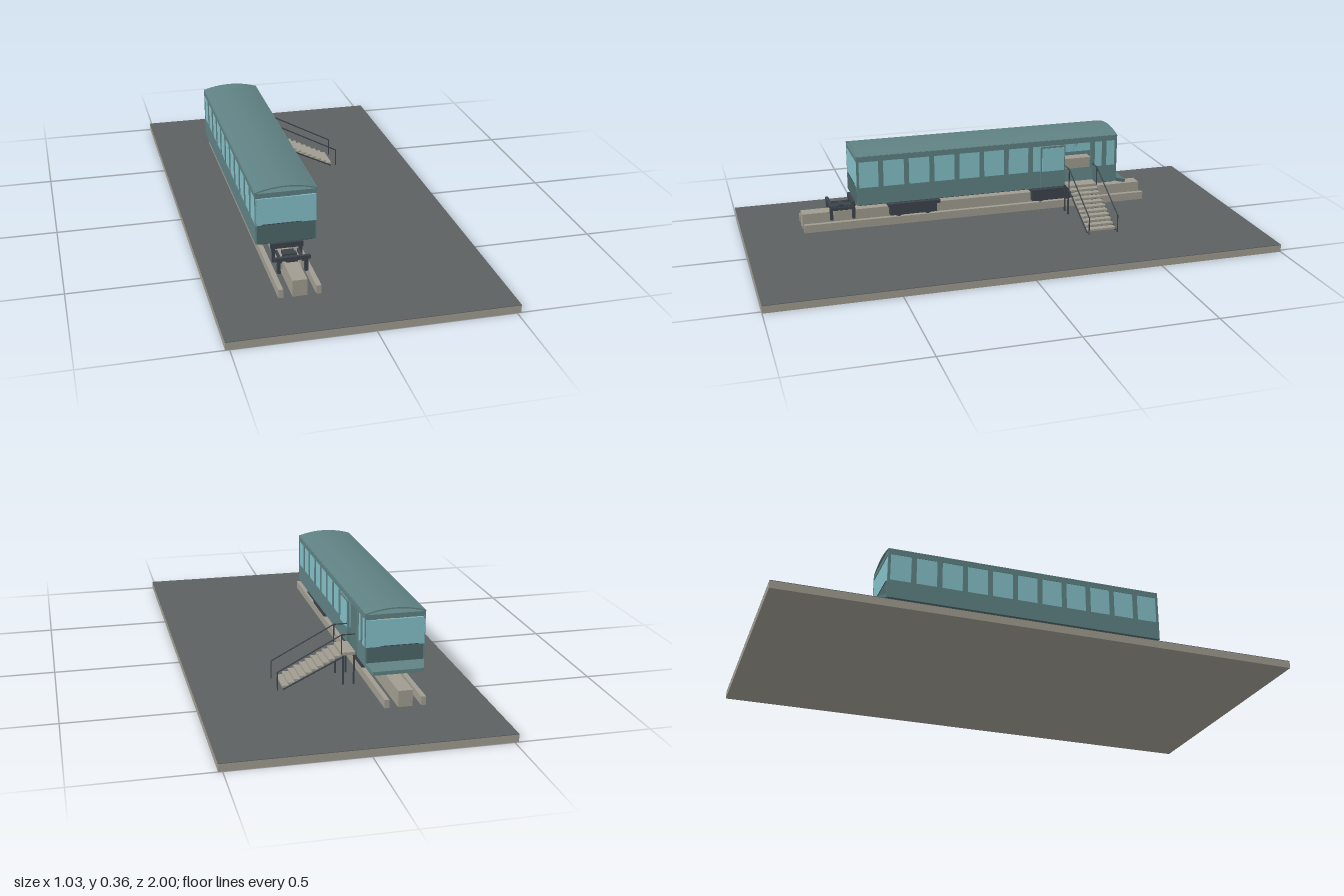
import * as THREE from 'three';

const mat = (name, color, side = THREE.FrontSide) => {
  const m = new THREE.MeshStandardMaterial({ color, side });
  m.name = name;
  return m;
};

export function createModel() {
  const model = new THREE.Group();
  const concrete = mat('concrete', 0xa09c90);
  const asphalt = mat('asphalt', 0x5c6062);
  const teal = mat('teal paint', 0x5f8183);
  const darkTeal = mat('dark teal paint', 0x4d686a);
  const glass = mat('glass', 0x83c0c8);
  const steel = mat('dark steel', 0x3b434b);

  // box given by its limits on each axis
  const box = (parent, name, m, x0, x1, y0, y1, z0, z1) => {
    const mesh = new THREE.Mesh(new THREE.BoxGeometry(x1 - x0, y1 - y0, z1 - z0), m);
    mesh.position.set((x0 + x1) / 2, (y0 + y1) / 2, (z0 + z1) / 2);
    mesh.name = name;
    parent.add(mesh);
    return mesh;
  };
  // round bar between two points
  const bar = (parent, name, m, a, b, r = 0.0025) => {
    const p = new THREE.Vector3(...a), d = new THREE.Vector3(...b).sub(p);
    const mesh = new THREE.Mesh(new THREE.CylinderGeometry(r, r, d.length(), 8), m);
    mesh.position.copy(p).addScaledVector(d, 0.5);
    mesh.quaternion.setFromUnitVectors(new THREE.Vector3(0, 1, 0), d.normalize());
    mesh.name = name;
    parent.add(mesh);
  };
  const group = (name, x = 0, z = 0) => {
    const g = new THREE.Group();
    g.name = name;
    g.position.set(x, 0, z);
    model.add(g);
    return g;
  };

  // ground slab with a dark top
  box(model, 'groundSlab', concrete, -0.515, 0.515, 0, 0.028, -1, 1);
  box(model, 'groundTop', asphalt, -0.515, 0.515, 0.028, 0.03, -1, 1);

  const cx = -0.208;

  // guideway: centre beam and two running rails
  const track = group('track', cx);
  box(track, 'centreBeam', concrete, -0.027, 0.027, 0.03, 0.092, -0.69, 0.76);
  for (const s of [-1, 1]) {
    const x = s * 0.068;
    box(track, 'runningRail', concrete, x - 0.009, x + 0.009, 0.03, 0.062, -0.69, 0.76);
  }

  // bogies
  for (const z of [0.315, -0.29]) {
    const bogie = group('bogie', cx, z);
    box(bogie, 'topPlate', steel, -0.103, 0.103, 0.113, 0.126, -0.107, 0.107);
    box(bogie, 'pivot', steel, -0.045, 0.045, 0.126, 0.147, -0.03, 0.03);
    for (const s of [-1, 1]) {
      const x = s * 0.066;
      box(bogie, 'sideFrame', steel, x - 0.014, x + 0.014, 0.07, 0.113, -0.097, 0.097);
      for (const wz of [-0.06, 0.06]) {
        bar(bogie, 'wheel', steel, [x - 0.008, 0.084, wz], [x + 0.008, 0.084, wz], 0.022);
        bar(bogie, 'guideWheel', steel, [s * 0.04, 0.065, wz], [s * 0.04, 0.082, wz], 0.012);
      }
    }
  }

  // coupler frame ahead of the car
  const coupler = group('couplerFrame', cx);
  box(coupler, 'rearCrossbar', steel, -0.06, 0.06, 0.118, 0.138, 0.55, 0.562);
  box(coupler, 'frontCrossbar', steel, -0.065, 0.065, 0.112, 0.126, 0.64, 0.652);
  box(coupler, 'drawbar', steel, -0.022, 0.022, 0.1, 0.112, 0.56, 0.64);
  box(coupler, 'couplerBlock', steel, -0.025, 0.025, 0.093, 0.118, 0.59, 0.61);
  for (const s of [-1, 1]) {
    const x = s * 0.04;
    box(coupler, 'sideBar', steel, x - 0.004, x + 0.004, 0.1, 0.112, 0.56, 0.64);
    box(coupler, 'guideBlock', concrete, x - 0.006, x + 0.006, 0.072, 0.1, 0.57, 0.632);
    for (const z of [0.55, 0.64]) {
      box(coupler, 'frameLeg', steel, s * 0.05 - 0.006, s * 0.05 + 0.006, 0.065, 0.12, z, z + 0.012);
    }
  }

  // passenger car
  const car = group('car', cx);
  const W = 0.113, L = 0.55, t = 0.006;
  box(car, 'floor', darkTeal, -W + 0.002, W - 0.002, 0.138, 0.15, -L + 0.002, L - 0.002);
  box(car, 'underframe', steel, -W + 0.015, W - 0.015, 0.131, 0.138, -L + 0.01, L - 0.01);
  box(car, 'ceiling', teal, -W + t, W - t, 0.33, 0.335, -L + t, L - t);
  box(car, 'bench', concrete, -W + t, -0.06, 0.15, 0.195, -0.5, 0.5);

  for (const s of [-1, 1]) {
    // the left side has a doorway between z = -0.44 and z = -0.32
    const runs = s > 0 ? [[-L, -0.44], [-0.32, L]] : [[-L, L]];
    const side = (name, m, inset, y0, y1, z0, z1) => {
      const a = s * (W - t), b = s * (W - inset);
      box(car, name, m, Math.min(a, b), Math.max(a, b), y0, y1, z0, z1);
    };
    side('upperWall', teal, 0, 0.317, 0.34, -L, L);
    for (const [z0, z1] of runs) {
      side('lowerWall', teal, 0, 0.138, 0.21, z0, z1);
      side('sideGlass', glass, 0.002, 0.21, 0.317, z0, z1);
    }
    // pillars between the windows
    const pillars = s > 0
      ? [0.452, 0.348, 0.244, 0.14, 0.036, -0.068, -0.172, -0.309, -0.443, -0.494]
      : Array.from({ length: 10 }, (_, i) => 0.45 - i * 0.1);
    for (const z of pillars) side('pillar', teal, 0, 0.21, 0.317, z - 0.01, z + 0.01);
    for (const z of [-L + 0.005, L - 0.005]) side('cornerPost', teal, 0, 0.138, 0.34, z - 0.005, z + 0.005);

    // car end: sill, wide window and header
    const end = (name, m, half, y0, y1, inset) => {
      const a = s * (L - t), b = s * (L - inset);
      box(car, name, m, -half, half, y0, y1, Math.min(a, b), Math.max(a, b));
    };
    end('endSill', darkTeal, W - t, 0.138, 0.21, 0);
    end('endWindow', glass, W - t, 0.21, 0.313, 0.001);
    end('endHeader', teal, W - t, 0.317, 0.335, 0);
    bar(car, 'wiper', steel, [-0.09, 0.212, s * L], [0.055, 0.212, s * L], 0.0015);
  }

  // arched roof shell, open at both ends
  const arch = new THREE.Shape();
  arch.moveTo(-W - 0.001, 0.339);
  arch.quadraticCurveTo(0, 0.375, W + 0.001, 0.339);
  arch.lineTo(W + 0.001, 0.334);
  arch.quadraticCurveTo(0, 0.37, -W - 0.001, 0.334);
  const roof = new THREE.Mesh(
    new THREE.ExtrudeGeometry(arch, { depth: 2 * L, bevelEnabled: false, curveSegments: 16 }), teal);
  roof.position.z = -L;
  roof.name = 'roof';
  car.add(roof);

  // sloping apron at the back, tapering outwards
  const apronGeo = new THREE.BoxGeometry(2 * W, 0.014, 0.05);
  const p = apronGeo.attributes.position;
  for (let i = 0; i < p.count; i++) {
    if (p.getZ(i) < 0) {
      p.setX(i, p.getX(i) * 0.84);
      p.setY(i, p.getY(i) - 0.017);
    }
  }
  apronGeo.computeVertexNormals();
  const apron = new THREE.Mesh(apronGeo, teal);
  apron.position.set(0, 0.144, -L - 0.024);
  apron.name = 'rearApron';
  car.add(apron);

  // sliding door, pushed open along the outside
  box(car, 'slidingDoor', teal, W, W + 0.006, 0.15, 0.315, -0.32, -0.215);
  box(car, 'doorGlass', glass, W + 0.006, W + 0.008, 0.21, 0.308, -0.315, -0.22);

  // stairs and landing
  const stairs = group('stairs');
  const zs = [-0.32, -0.44];
  box(stairs, 'landing', concrete, -0.09, -0.035, 0.145, 0.156, -0.44, -0.32);
  const n = 10, run = 0.022;
  for (let i = 0; i < n; i++) {
    const x = -0.037 + i * run, y = 0.145 - i * 0.0112;
    box(stairs, 'tread', concrete, x, x + run + 0.004, y - 0.008, y, -0.438, -0.322);
  }
  for (const z of zs) {
    for (const x of [-0.084, -0.043]) {
      box(stairs, 'landingLeg', steel, x - 0.003, x + 0.003, 0.03, 0.145, z - 0.003, z + 0.003);
    }
    bar(stairs, 'stringer', steel, [-0.037, 0.138, z], [0.185, 0.031, z], 0.003);
    bar(stairs, 'upperPost', steel, [-0.036, 0.15, z], [-0.036, 0.227, z]);
    bar(stairs, 'lowerPost', steel, [0.206, 0.03, z], [0.206, 0.1, z]);
    bar(stairs, 'landingRail', steel, [-0.087, 0.227, z], [-0.036, 0.227, z]);
    bar(stairs, 'slopingRail', steel, [-0.036, 0.227, z], [0.206, 0.1, z]);
  }
  return model;
}
